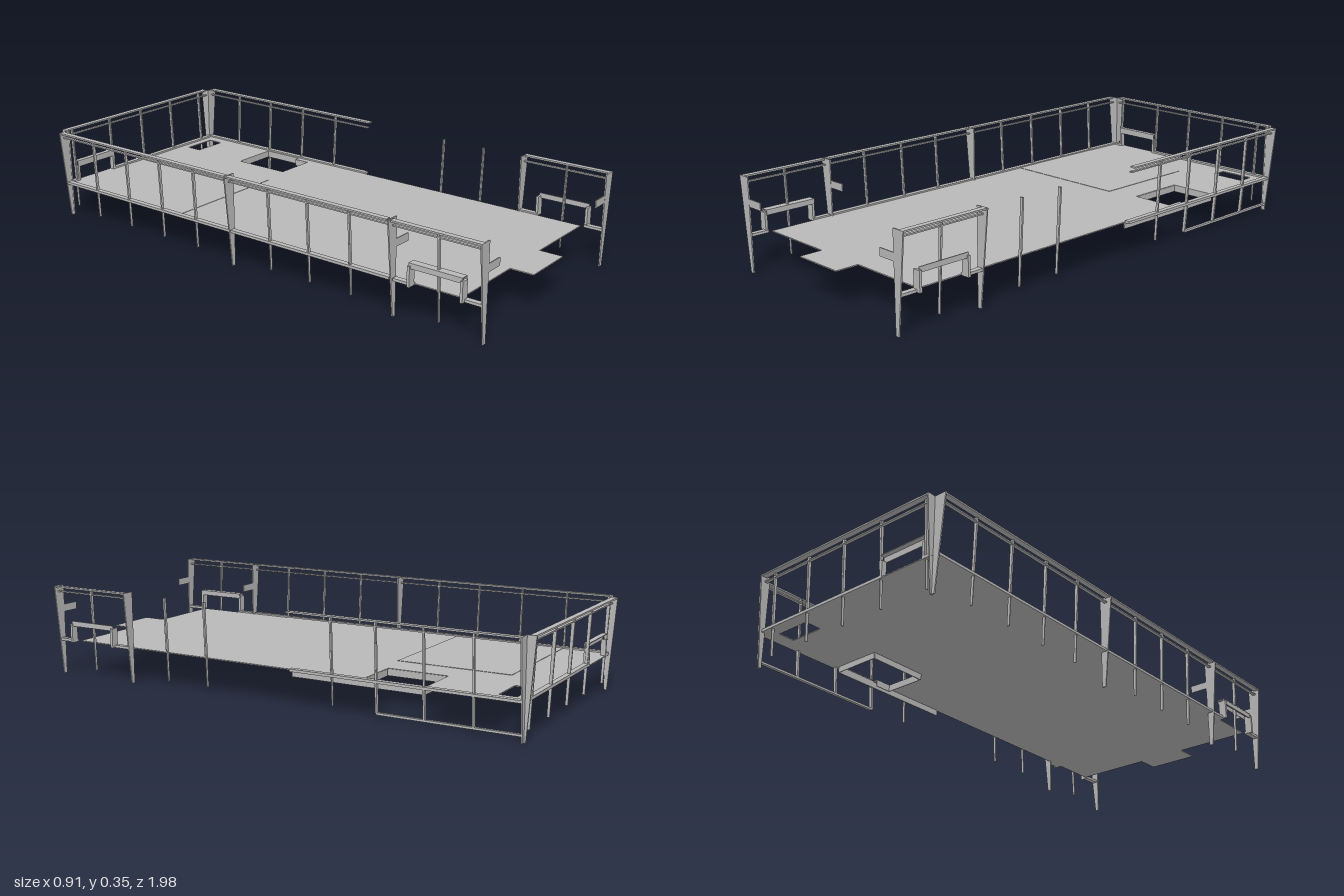
import * as THREE from 'three';

export function createModel() {
  const root = new THREE.Group();
  root.name = 'platformFrame';
  const grey = new THREE.MeshStandardMaterial({ color: 0xb8b8b8, side: THREE.DoubleSide });
  grey.name = 'plain grey';

  const add = (name, geometry) => {
    const m = new THREE.Mesh(geometry, grey);
    m.name = name;
    root.add(m);
    return m;
  };
  // Box given by its limits
  const box = (name, x0, x1, y0, y1, z0, z1) => {
    const g = new THREE.BoxGeometry(Math.abs(x1 - x0), y1 - y0, Math.abs(z1 - z0));
    g.translate((x0 + x1) / 2, (y0 + y1) / 2, (z0 + z1) / 2);
    return add(name, g);
  };
  const shapeOf = pts => new THREE.Shape(pts.map(p => new THREE.Vector2(...p)));
  const slab = (pts, depth) => {
    const g = new THREE.ExtrudeGeometry(shapeOf(pts), { depth, bevelEnabled: false });
    return g.translate(0, 0, -depth / 2);
  };
  // Upright plates: across z (outline in x, y) or across x (outline in z, y)
  const plateZ = (name, pts, z, t) => add(name, slab(pts, t).translate(0, 0, z));
  const plateX = (name, pts, x, t) => add(name, slab(pts, t).rotateY(-Math.PI / 2).translate(x, 0, 0));

  // Floor with front tab and two openings
  const floor = shapeOf([
    [-0.41, -0.965], [0.41, -0.965], [0.41, 0.9], [0.1, 0.9],
    [0.1, 0.99], [-0.105, 0.99], [-0.105, 0.9], [-0.41, 0.9],
  ]);
  const openings = [
    [[0.23, -0.915], [0.37, -0.915], [0.37, -0.85], [0.23, -0.85]],
    [[0.22, -0.6], [0.405, -0.6], [0.405, -0.43], [0.385, -0.43], [0.385, -0.365], [0.22, -0.365]],
  ];
  for (const pts of openings) floor.holes.push(shapeOf(pts));
  const floorGeo = new THREE.ExtrudeGeometry(floor, { depth: 0.004, bevelEnabled: false });
  add('floor', floorGeo.rotateX(Math.PI / 2).translate(0, 0.139, 0));
  box('floorPanel', -0.415, 0.1, 0.138, 0.1405, -0.785, -0.34);

  // Skirts hanging around the large opening
  box('openingSkirt', 0.218, 0.222, 0.112, 0.137, -0.6, -0.363);
  box('openingSkirt', 0.22, 0.405, 0.112, 0.137, -0.603, -0.6);
  box('openingSkirt', 0.228, 0.386, 0.112, 0.137, -0.366, -0.363);
  box('openingSkirt', 0.384, 0.387, 0.112, 0.137, -0.43, -0.363);
  box('outerSkirt', 0.405, 0.41, 0.112, 0.137, -0.6, -0.08);

  // Leaning side stud: thin blade full height, thicker above the floor
  const sideStud = (s, z) => {
    plateZ('sideStudBlade', [[s * 0.411, 0.03], [s * 0.421, 0.03], [s * 0.437, 0.35], [s * 0.423, 0.35]], z, 0.003);
    plateZ('sideStud', [[s * 0.416, 0.14], [s * 0.426, 0.14], [s * 0.437, 0.35], [s * 0.427, 0.35]], z, 0.007);
  };
  const sides = [
    { s: -1, rails: [[-0.955, -0.08], [-0.07, 0.63], [0.645, 0.985]],
      studs: [-0.785, -0.605, -0.425, -0.25, 0.11, 0.285, 0.465, 0.82], fins: [-0.955, -0.075, 0.638, 0.987] },
    { s: 1, rails: [[-0.955, -0.08], [0.645, 0.985]],
      studs: [-0.785, -0.605, -0.425, -0.25, 0.285, 0.465, 0.82], fins: [-0.955, 0.642, 0.987] },
  ];
  for (const { s, rails, studs, fins } of sides) {
    for (const [a, b] of rails) {
      box('topRail', s * 0.431, s * 0.453, 0.349, 0.355, a, b);
      box('innerTopRail', s * 0.426, s * 0.438, 0.33, 0.335, a, b);
      // Bottom rail is broken by the arch at the front
      const runs = a > 0.6 ? [[a, 0.72], [0.913, b]] : [[a, b]];
      for (const [c, d] of runs) box('bottomRail', s * 0.41, s * 0.431, 0.135, 0.145, c, d);
    }
    for (const z of studs) sideStud(s, z);
    // Tapered fins with a narrow flange along the inner edge
    for (const z of fins) {
      plateZ('taperedFin', [[s * 0.405, 0], [s * 0.42, 0], [s * 0.455, 0.355], [s * 0.405, 0.355]], z, 0.005);
    }
    // Front arch
    for (const z of [0.715, 0.917]) box('archLeg', s * 0.415, s * 0.445, 0.135, 0.21, z - 0.005, z + 0.005);
    box('archPanel', s * 0.435, s * 0.439, 0.2, 0.22, 0.712, 0.917);
  }
  box('archShelf', -0.44, -0.41, 0.217, 0.22, 0.712, 0.917);
  box('archSide', -0.413, -0.41, 0.2, 0.22, 0.712, 0.917);

  // Stub brackets on the fins
  for (const [s, z] of [[-1, 0.987], [1, 0.987], [-1, 0.638]]) {
    box('bracket', s * 0.335, s * 0.405, 0.247, 0.276, z - 0.002, z + 0.002);
  }

  // Lower frame below the floor
  box('lowerRail', 0.408, 0.42, 0.022, 0.03, -0.955, -0.425);
  for (const z of [-0.425, -0.605, -0.785]) {
    plateZ('lowerStud', [[0.408, 0.025], [0.42, 0.025], [0.429, 0.14], [0.416, 0.14]], z, 0.007);
  }

  // Back wall
  box('backTopRail', -0.405, 0.405, 0.349, 0.355, -0.988, -0.966);
  box('backInnerRail', -0.405, 0.405, 0.33, 0.335, -0.973, -0.961);
  box('backBottomRail', -0.18, 0.405, 0.135, 0.146, -0.965, -0.945);
  box('backBottomRail', -0.405, -0.37, 0.135, 0.146, -0.965, -0.945);
  for (const x of [-0.38, -0.178, 0, 0.177, 0.355]) {
    plateX('backStudBlade', [[-0.946, 0.03], [-0.956, 0.03], [-0.972, 0.35], [-0.958, 0.35]], x, 0.003);
    plateX('backStud', [[-0.951, 0.14], [-0.961, 0.14], [-0.972, 0.35], [-0.962, 0.35]], x, 0.008);
  }
  for (const x of [-0.407, 0.407]) {
    plateX('cornerFin', [[-0.951, 0], [-0.963, 0], [-0.99, 0.355], [-0.951, 0.355]], x, 0.005);
  }
  // Back arch
  box('backArchPanel', -0.378, -0.18, 0.197, 0.222, -0.949, -0.945);
  box('backArchShelf', -0.378, -0.18, 0.219, 0.222, -0.966, -0.945);
  for (const x of [-0.373, -0.184]) box('backArchLeg', x - 0.005, x + 0.005, 0.135, 0.2, -0.965, -0.945);

  return root;
}
